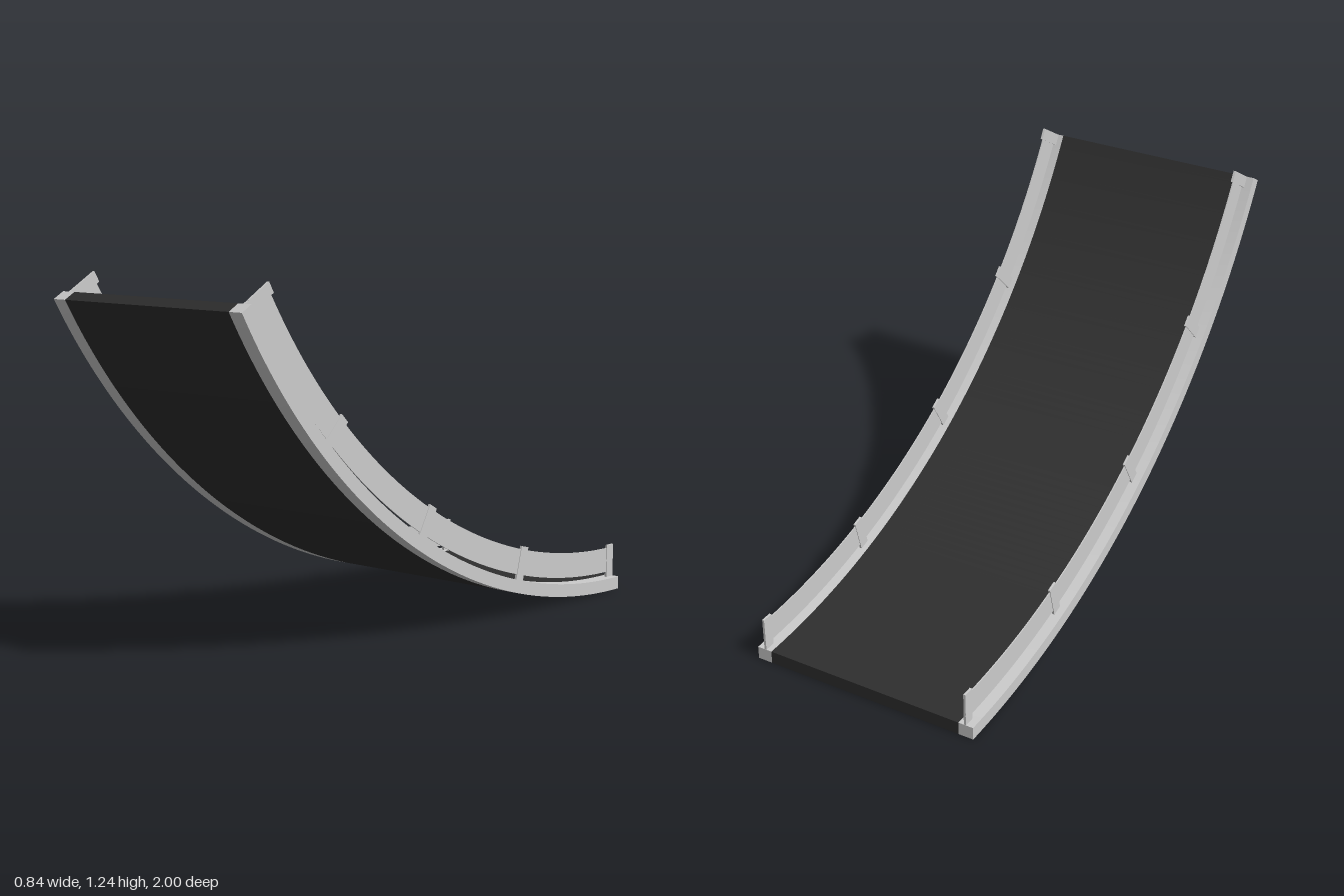
import * as THREE from 'three';
import { toCreasedNormals } from 'three/addons/utils/BufferGeometryUtils.js';

const R = 2.309;            // outer radius of the curve
const SWEEP = Math.PI / 3;  // the track climbs through 60 degrees
const DECK = 2.263;         // radius of the upper deck surface

// Curved slab between two radii, centred on x = 0
function arcSlab(rOuter, rInner, width) {
  const a0 = -Math.PI / 2, a1 = a0 + SWEEP;
  const shape = new THREE.Shape();
  shape.absarc(-1, R, rOuter, a0, a1, false);
  shape.absarc(-1, R, rInner, a1, a0, true);
  shape.closePath();
  const geo = new THREE.ExtrudeGeometry(shape, { depth: width, bevelEnabled: false, curveSegments: 40 });
  geo.translate(0, 0, -width / 2);
  geo.rotateY(-Math.PI / 2);
  return toCreasedNormals(geo, 0.4);
}

export function createModel() {
  const model = new THREE.Group();
  model.name = 'curvedConveyor';
  const grey = new THREE.MeshStandardMaterial({ color: 0xcccccc });
  const black = new THREE.MeshStandardMaterial({ color: 0x2e2e2e });

  const add = (name, geo, mat, x = 0) => {
    const mesh = new THREE.Mesh(geo, mat);
    mesh.name = name;
    mesh.position.x = x;
    model.add(mesh);
    return mesh;
  };

  // Dark running surface
  add('belt', arcSlab(R, DECK, 0.728), black);

  const frameGeo = arcSlab(R, DECK, 0.054);
  const guardGeo = arcSlab(2.244, 2.154, 0.004);
  const postGeo = new THREE.BoxGeometry(0.008, 0.12, 0.04);
  const postRadius = DECK - 0.06;
  const inset = 0.02 / postRadius;

  for (const [side, s] of [['left', 1], ['right', -1]]) {
    // Side beam and the guard rail floating above it
    add(side + 'SideBeam', frameGeo, grey, s * 0.391);
    add(side + 'GuardRail', guardGeo, grey, s * 0.388);

    // Posts every 15 degrees, the end ones flush with the ends
    for (let i = 0; i < 5; i++) {
      const a = THREE.MathUtils.clamp(SWEEP * i / 4, inset, SWEEP - inset);
      const post = add(side + 'Post' + (i + 1), postGeo, grey, s * 0.388);
      post.position.y = R - postRadius * Math.cos(a);
      post.position.z = -1 + postRadius * Math.sin(a);
      post.rotation.x = -a;
    }
  }
  return model;
}
